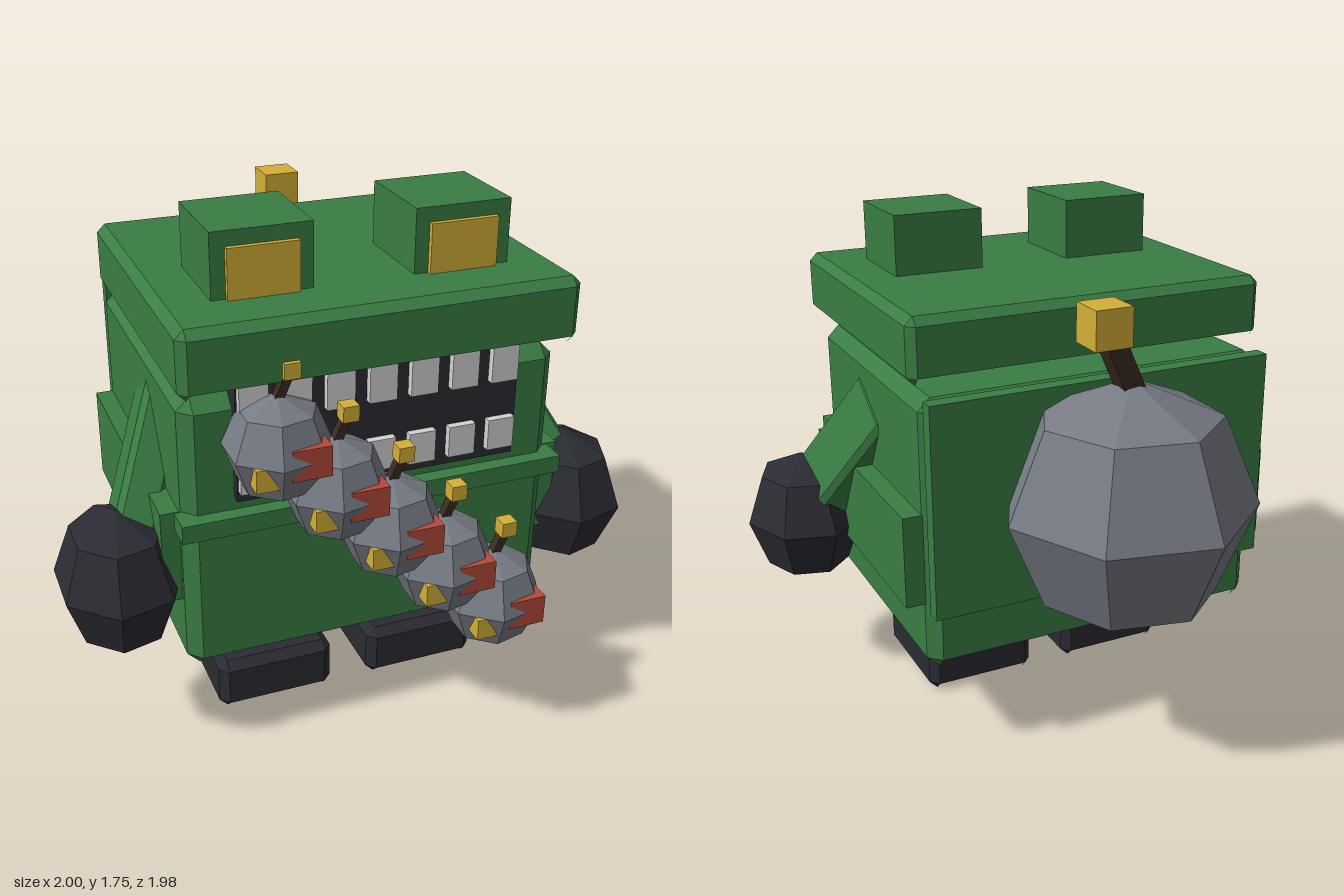
import * as THREE from 'three';

const mat = (name, color) => {
  const m = new THREE.MeshStandardMaterial({ color, side: THREE.DoubleSide, flatShading: true });
  m.name = name;
  return m;
};

// Chamfered box between two corners; an open one lacks the floor and its edge strips
function chamferBox(min, max, b, open = true) {
  const c = [0, 1, 2].map(i => (min[i] + max[i]) / 2);
  const h = [0, 1, 2].map(i => (max[i] - min[i]) / 2);
  const pos = [];
  // corner vertex with signs s lying on the face of the given axis
  const v = (s, axis) => new THREE.Vector3(...[0, 1, 2].map(i => c[i] + s[i] * (h[i] - (i === axis ? 0 : b))));
  const centre = new THREE.Vector3(...c);
  const tri = (p, q, r) => {
    const n = q.clone().sub(p).cross(r.clone().sub(p));
    const out = p.clone().add(q).add(r).divideScalar(3).sub(centre);
    const order = n.dot(out) > 0 ? [p, q, r] : [p, r, q];
    order.forEach(k => pos.push(k.x, k.y, k.z));
  };
  const quad = (p, q, r, s) => { tri(p, q, r); tri(p, r, s); };
  const signs = (a, sa, d, sd, e, se) => { const s = []; s[a] = sa; s[d] = sd; s[e] = se; return s; };
  for (let a = 0; a < 3; a++) {
    const d = (a + 1) % 3, e = (a + 2) % 3;
    for (const sa of [-1, 1]) {
      // flat face
      if (!(open && a === 1 && sa < 0)) {
        quad(...[[-1, -1], [1, -1], [1, 1], [-1, 1]].map(([sd, se]) => v(signs(a, sa, d, sd, e, se), a)));
      }
      // edge strip between this face and the next axis
      for (const sd of [-1, 1]) {
        if (b === 0 || (open && ((a === 1 && sa < 0) || (d === 1 && sd < 0)))) continue;
        const s1 = signs(a, sa, d, sd, e, -1), s2 = signs(a, sa, d, sd, e, 1);
        quad(v(s1, a), v(s2, a), v(s2, d), v(s1, d));
      }
    }
  }
  // corner triangles
  if (b > 0) for (const x of [-1, 1]) for (const y of [-1, 1]) for (const z of [-1, 1]) {
    tri(...[0, 1, 2].map(i => v([x, y, z], i)));
  }
  const g = new THREE.BufferGeometry();
  g.setAttribute('position', new THREE.Float32BufferAttribute(pos, 3));
  g.computeVertexNormals();
  return g;
}

export function createModel() {
  const root = new THREE.Group();
  const green = mat('green', 0x3a7d44), dark = mat('charcoal', 0x2b2b33), grey = mat('steel grey', 0x777b84);
  const gold = mat('gold', 0xd4af37), red = mat('red', 0xb54a38), brown = mat('brown', 0x3a2a22);
  const white = mat('tooth white', 0xd4d4d4);

  const add = (name, geo, material, parent = root) => {
    const m = new THREE.Mesh(geo, material);
    m.name = name;
    parent.add(m);
    return m;
  };
  const box = (name, min, max, material, b = 0, parent = root, open = true) =>
    add(name, chamferBox(min, max, b, open), material, parent);
  // seven-sided ball without its bottom cap
  const ball = phi => new THREE.SphereGeometry(1, 7, 3, phi, Math.PI * 2, 0, Math.PI * 0.75);

  // Body, lid and panels
  box('body', [-0.64, 0.335, -0.36], [0.61, 1.29, 0.66], green, 0.043);
  box('lid', [-0.658, 1.325, -0.315], [0.63, 1.545, 0.745], green, 0.028);
  box('backPanel', [-0.63, 0.56, -0.41], [0.605, 1.295, -0.355], green);
  box('leftSidePanel', [0.59, 0.58, -0.32], [0.675, 0.9, 0.6], green);
  box('rightSidePanel', [-0.7, 0.58, -0.32], [-0.62, 0.9, 0.6], green);

  // Mouth
  box('mouth', [-0.48, 0.95, 0.6], [0.45, 1.35, 0.69], dark);
  box('lowerLip', [-0.66, 0.85, 0.62], [0.625, 0.91, 0.71], green);
  for (let i = 0; i < 7; i++) {
    const x = -0.475 + i * 0.137;
    box('upperTooth', [x, 1.22, 0.66], [x + 0.09, 1.345, 0.715], white);
    box('lowerTooth', [x, 0.985, 0.66], [x + 0.09, 1.09, 0.715], white);
  }

  // Eyes
  for (const x of [-0.498, 0.15]) {
    box('eyeBlock', [x, 1.53, 0.22], [x + 0.32, 1.753, 0.54], green);
    box('eye', [x + 0.046, 1.54, 0.53], [x + 0.272, 1.705, 0.558], gold);
  }

  // Legs and boots
  for (const x of [-0.495, 0.055]) {
    box('boot', [x, 0, 0.035], [x + 0.41, 0.19, 0.492], dark, 0.03);
    box('leg', [x + 0.065, 0.17, 0.01], [x + 0.343, 0.35, 0.288], green);
  }

  // Slanted arms with ball hands
  for (const side of [1, -1]) {
    const down = new THREE.Vector3(0.17 * side, -0.34, 0.215).normalize();
    const wide = new THREE.Vector3(0, 0.215, 0.34).normalize();
    const up = down.clone().negate();
    const out = up.clone().cross(wide);
    const arm = add('arm', chamferBox([-0.07, -0.28, -0.125], [0.07, 0.28, 0.125], 0.02), green);
    arm.quaternion.setFromRotationMatrix(new THREE.Matrix4().makeBasis(out, up, wide));
    arm.position.set(-0.0125 + side * 0.62, 1.15, 0.155)
      .addScaledVector(down, 0.28).addScaledVector(out, -0.07 * side);
    const hand = add('hand', ball(Math.PI), dark);
    hand.scale.set(0.21, 0.245, 0.25);
    hand.position.set(side > 0 ? 0.785 : -0.813, 0.625, 0.468);
  }

  // Bomb with a bent fuse and a square spark
  const bomb = (name, r, x, y, z) => {
    const g = new THREE.Group();
    g.name = name;
    add('shell', ball(Math.PI), grey, g);
    const fuse = add('fuse', new THREE.BoxGeometry(0.16, 0.5, 0.18), brown, g);
    fuse.position.set(0.1, 1.13, 0);
    fuse.rotation.z = -0.42;
    box('spark', [0.08, 1.28, -0.15], [0.38, 1.58, 0.15], gold, 0, g, false);
    g.position.set(x, y, z);
    g.scale.setScalar(r);
    root.add(g);
    return g;
  };
  bomb('backBomb', 0.425, -0.005, 0.92, -0.57);

  // Sash carrying five small bombs with patches
  const along = new THREE.Vector3(0.7, -0.63, 0.1).normalize();
  const across = new THREE.Vector3(0.63, 0.7, 0).normalize();
  const strap = add('sash', new THREE.BoxGeometry(1.06, 0.16, 0.05), brown);
  strap.quaternion.setFromRotationMatrix(
    new THREE.Matrix4().makeBasis(along, across, along.clone().cross(across).normalize()));
  strap.position.set(-0.015, 0.825, 0.615);
  for (let i = 0; i < 5; i++) {
    const g = bomb('smallBomb', 0.17, -0.365 + i * 0.174, 1.145 - i * 0.156, 0.735 + i * 0.024);
    box('redPatch', [-0.03, -0.29, 0.4], [0.69, 0.29, 0.85], red, 0, g, false);
    box('goldPatch', [-0.65, -0.43, 0.4], [-0.17, 0, 0.77], gold, 0, g, false);
  }
  return root;
}
